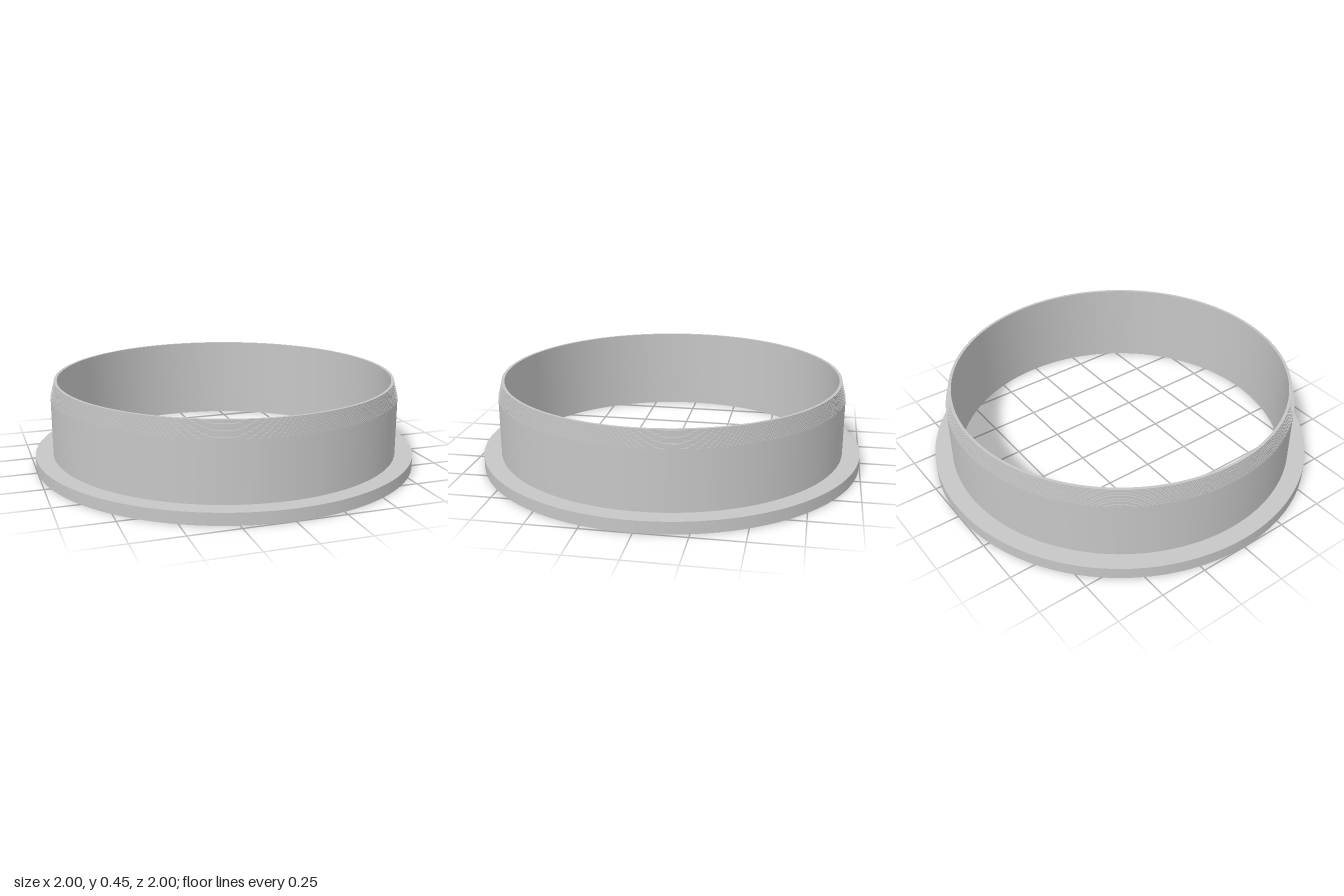
import * as THREE from 'three';
import { toCreasedNormals } from 'three/addons/utils/BufferGeometryUtils.js';

const INNER = 0.873, OUTER = 0.909, RIM = 0.888;
const FLANGE_TOP = 0.061, TAPER_START = 0.365, TOP = 0.447, STEPS = 14;

// Revolve a [radius, height] profile, keeping its corners sharp
function revolve(name, profile, material) {
  const points = profile.map(([r, y]) => new THREE.Vector2(r, y));
  const geometry = toCreasedNormals(new THREE.LatheGeometry(points, 128), 0.5);
  const mesh = new THREE.Mesh(geometry, material);
  mesh.name = name;
  return mesh;
}

export function createModel() {
  const group = new THREE.Group();
  group.name = 'flangedRing';
  const grey = new THREE.MeshStandardMaterial({ color: 0xc6c6c6 });
  grey.name = 'lightGrey';

  // Flat base flange
  group.add(revolve('flange', [
    [INNER, FLANGE_TOP], [INNER, 0], [1, 0], [1, FLANGE_TOP], [OUTER, FLANGE_TOP],
  ], grey));

  // Thin sleeve whose upper edge narrows in fine steps
  const sleeve = [[OUTER, FLANGE_TOP], [OUTER, TAPER_START]];
  for (let i = 1; i <= STEPS; i++) {
    const r = THREE.MathUtils.lerp(OUTER, RIM, i / STEPS);
    sleeve.push(
      [r, THREE.MathUtils.lerp(TAPER_START, TOP, (i - 1) / STEPS)],
      [r, THREE.MathUtils.lerp(TAPER_START, TOP, i / STEPS)],
    );
  }
  sleeve.push([INNER, TOP], [INNER, FLANGE_TOP]);
  group.add(revolve('sleeve', sleeve, grey));

  return group;
}
